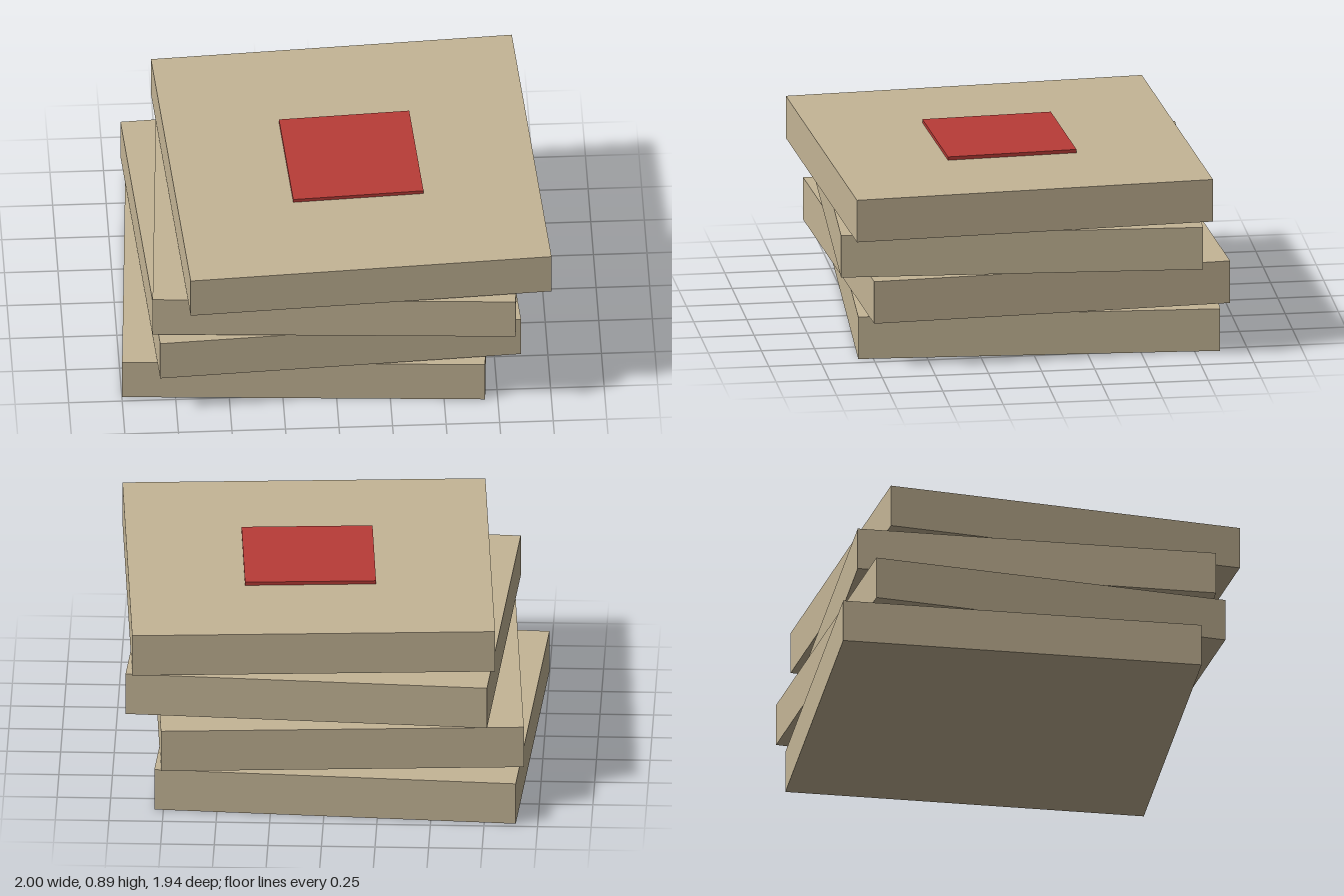
import * as THREE from 'three';

export function createModel() {
  const cardboard = new THREE.MeshStandardMaterial({ color: 0xc4b596 });
  cardboard.name = 'cardboard tan';
  const red = new THREE.MeshStandardMaterial({ color: 0xb83c37 });
  red.name = 'label red';

  const size = 1.693, height = 0.205, labelSize = 0.611, labelHeight = 0.0165;
  const pitch = height + labelHeight;
  const boxGeometry = new THREE.BoxGeometry(size, height, size);
  const labelGeometry = new THREE.BoxGeometry(labelSize, labelHeight, labelSize);

  const model = new THREE.Group();
  model.name = 'boxStack';

  // Four flat boxes, each shifted and twisted the other way from the one below
  for (let i = 0; i < 4; i++) {
    const level = new THREE.Group();
    level.name = `stackedBox${i + 1}`;
    const step = i - 1.5;
    level.position.set(step * 0.0687, i * pitch, step * 0.05);
    level.rotation.y = i % 2 ? 0.06 : -0.06;

    const box = new THREE.Mesh(boxGeometry, cardboard);
    box.name = 'box';
    box.position.y = height / 2;

    // Raised square label in the middle of the lid
    const label = new THREE.Mesh(labelGeometry, red);
    label.name = 'lidLabel';
    label.position.y = height + labelHeight / 2;

    level.add(box, label);
    model.add(level);
  }
  return model;
}
